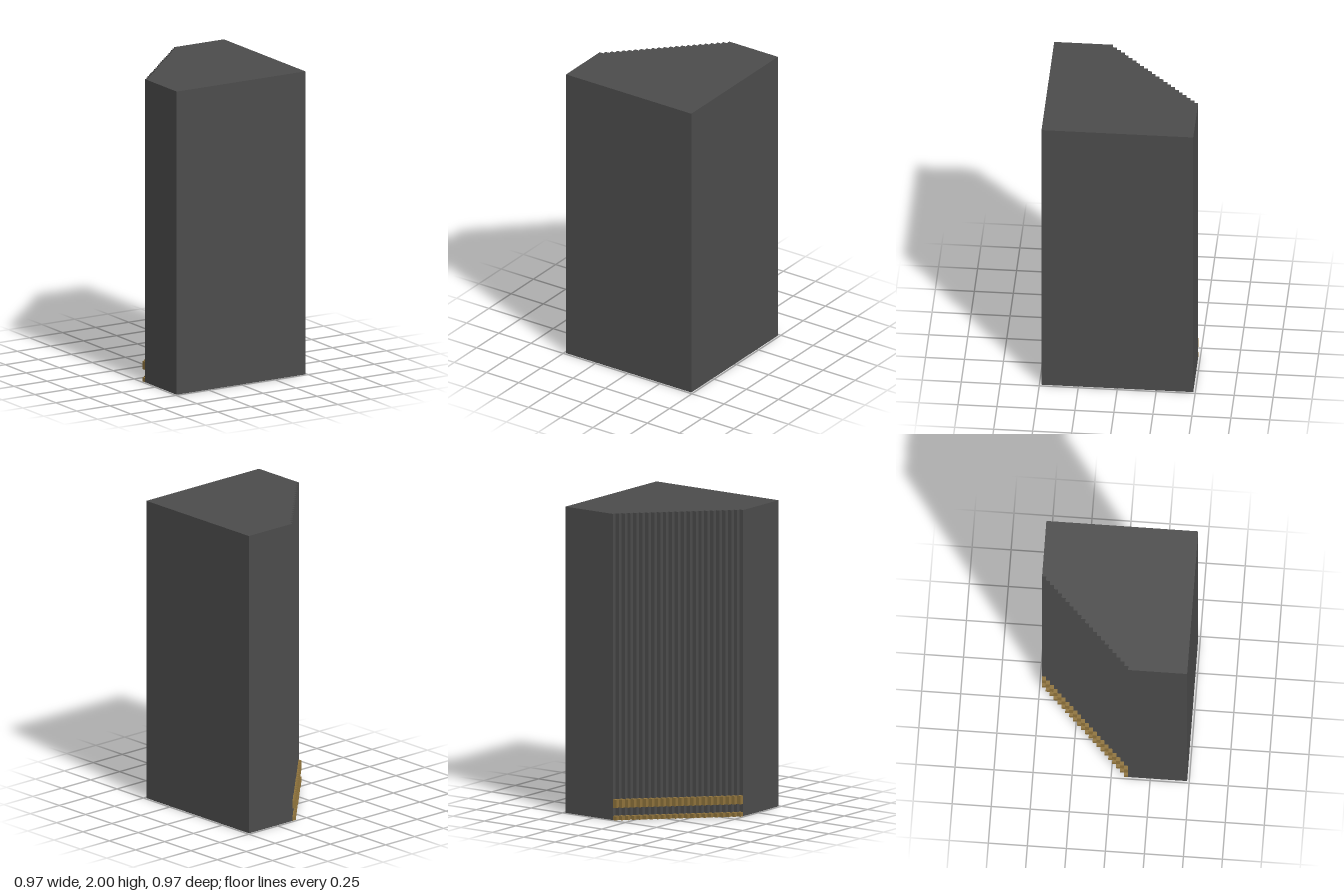
import * as THREE from 'three';

const U = 2 / 74;      // one block
const HALF = 18;       // half width in blocks
const STEPS = 22;      // steps along the cut corner

const dark = new THREE.MeshStandardMaterial({ color: 0x4c4c4c });
dark.name = 'charcoal';
const gold = new THREE.MeshStandardMaterial({ color: 0x8f733c });
gold.name = 'gold';

// Square pillar whose back corner is cut off in a staircase
function pillarGeometry() {
  const pts = [[-HALF, HALF], [HALF, HALF], [HALF, -HALF], [-HALF + STEPS, -HALF]];
  for (let i = STEPS - 1; i >= 0; i--) {
    const z = HALF - 14 - i;
    pts.push([-HALF + i + 1, z], [-HALF + i, z]);
  }
  // Shape y is -z, so the outline lies flat after the turn
  const shape = new THREE.Shape(pts.map(([x, z]) => new THREE.Vector2(x * U, -z * U)));
  const geo = new THREE.ExtrudeGeometry(shape, { depth: 74 * U, bevelEnabled: false });
  return geo.rotateX(-Math.PI / 2);
}

// Row of blocks filling the steps between two heights
function trimBand(name, y0, y1) {
  const band = new THREE.Group();
  band.name = name;
  const geo = new THREE.BoxGeometry(U, (y1 - y0) * U, U);
  for (let i = 0; i < STEPS; i++) {
    const block = new THREE.Mesh(geo, gold);
    block.name = 'trimBlock';
    block.position.set((-HALF + i + 0.5) * U, (y0 + y1) / 2 * U, (3.5 - i) * U);
    band.add(block);
  }
  return band;
}

export function createModel() {
  const model = new THREE.Group();
  model.name = 'corner pillar';
  const pillar = new THREE.Mesh(pillarGeometry(), dark);
  pillar.name = 'pillar';
  model.add(pillar, trimBand('baseTrim', 0, 1), trimBand('upperTrim', 3, 5));
  return model;
}
